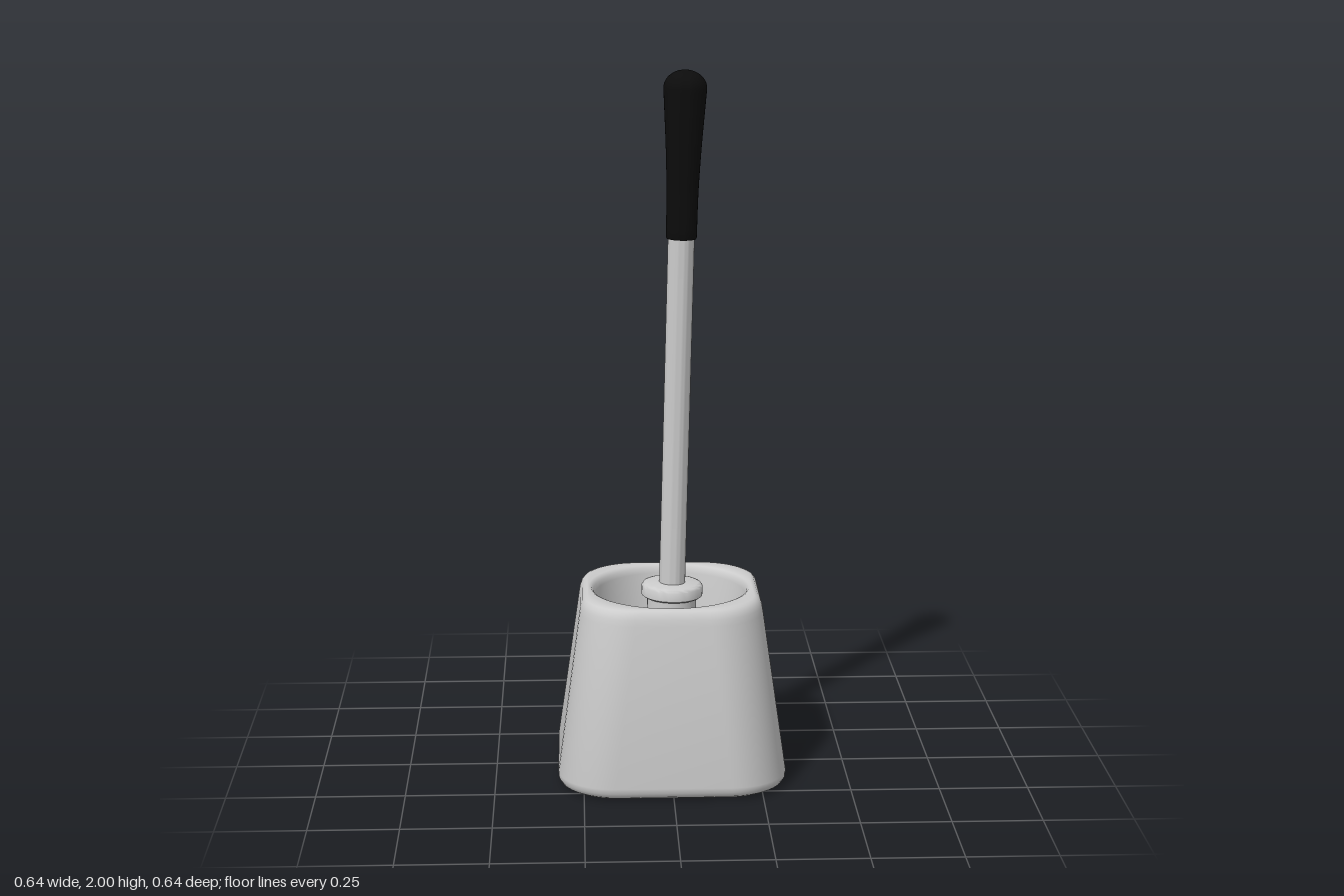
import * as THREE from 'three';
import { toCreasedNormals } from 'three/addons/utils/BufferGeometryUtils.js';

const SEG = 12; // arc steps per corner

// Rounded square outline; a circle when radius equals half
function ring([half, radius, y]) {
  const pts = [];
  for (let q = 0; q < 4; q++) {
    const mid = (q + 0.5) * Math.PI / 2;
    const cx = Math.sign(Math.cos(mid)) * (half - radius);
    const cz = Math.sign(Math.sin(mid)) * (half - radius);
    for (let i = 0; i <= SEG; i++) {
      const a = (q + i / SEG) * Math.PI / 2;
      pts.push([cx + radius * Math.cos(a), y, cz + radius * Math.sin(a)]);
    }
  }
  return pts;
}

// Skin a stack of outlines, closing both ends with a fan
function loft(sections) {
  const rings = sections.map(ring);
  const pos = [];
  const tri = (a, b, c) => pos.push(...a, ...b, ...c);
  const same = (a, b) => Math.hypot(a[0] - b[0], a[1] - b[1], a[2] - b[2]) < 1e-6;
  const n = rings[0].length;
  const last = rings.length - 1;
  const bottom = [0, sections[0][2], 0];
  const top = [0, sections[last][2], 0];
  for (let j = 0; j < n; j++) {
    const k = (j + 1) % n;
    if (!same(rings[0][j], rings[0][k])) tri(bottom, rings[0][j], rings[0][k]);
    if (!same(rings[last][j], rings[last][k])) tri(top, rings[last][k], rings[last][j]);
    for (let i = 0; i < last; i++) {
      const a = rings[i][j], b = rings[i][k], c = rings[i + 1][j], d = rings[i + 1][k];
      if (!same(a, b)) tri(a, c, b);
      if (!same(c, d)) tri(b, c, d);
    }
  }
  const geo = new THREE.BufferGeometry();
  geo.setAttribute('position', new THREE.Float32BufferAttribute(pos, 3));
  return toCreasedNormals(geo, 0.75);
}

function lathe(points, material, name) {
  const geo = new THREE.LatheGeometry(points.map(([r, y]) => new THREE.Vector2(r, y)), 40);
  const mesh = new THREE.Mesh(toCreasedNormals(geo, 0.7), material);
  mesh.name = name;
  return mesh;
}

export function createModel() {
  const grey = new THREE.MeshStandardMaterial({ color: 0xcccccc });
  const black = new THREE.MeshStandardMaterial({ color: 0x0c0c0c });
  const model = new THREE.Group();
  model.name = 'brushAndHolder';

  // Holder: tapered rounded square body with a round well
  const sections = [ // half width, corner radius, height
    [0.285, 0.135, 0.003], [0.301, 0.146, 0.006], [0.314, 0.155, 0.014],
    [0.321, 0.16, 0.026], [0.322, 0.16, 0.04],
    [0.259, 0.155, 0.49], [0.256, 0.153, 0.508], [0.251, 0.15, 0.522],
    [0.244, 0.147, 0.531], [0.236, 0.145, 0.535],
    [0.232, 0.232, 0.535], [0.225, 0.225, 0.532], [0.219, 0.219, 0.524],
    [0.215, 0.215, 0.51], [0.2, 0.2, 0.04],
  ];
  const holder = new THREE.Mesh(loft(sections), grey);
  holder.name = 'holder';
  model.add(holder);

  // Brush leans slightly; its origin is at the collar
  const brush = new THREE.Group();
  brush.name = 'brush';
  brush.position.set(0.006, 0.54, 0.002);
  brush.rotation.set(0.008, 0, -0.025);
  model.add(brush);

  // Brush head standing in the well
  brush.add(lathe([[0, -0.49], [0.06, -0.49], [0.07, -0.48], [0.07, -0.03], [0, -0.03]], grey, 'brushHead'));

  // Collar above the head
  brush.add(lathe([[0, -0.035], [0.08, -0.035], [0.087, -0.03], [0.087, -0.004],
    [0.083, 0.002], [0.074, 0.005], [0, 0.007]], grey, 'collar'));

  // Shaft
  brush.add(lathe([[0, 0], [0.037, 0], [0.037, 1.04], [0, 1.04]], grey, 'shaft'));

  // Grip: flares upward and ends in a dome
  const flare = new THREE.SplineCurve([[0.043, 1.0], [0.044, 1.12], [0.049, 1.24], [0.056, 1.35], [0.06, 1.41]]
    .map(([x, y]) => new THREE.Vector2(x, y))).getPoints(14).map((p) => [p.x, p.y]);
  const dome = [];
  for (let i = 1; i <= 10; i++) {
    const a = i / 10 * Math.PI / 2;
    dome.push([i === 10 ? 0 : 0.06 * Math.cos(a), 1.41 + 0.05 * Math.sin(a)]);
  }
  brush.add(lathe([[0, 0.995], [0.041, 0.995], ...flare, ...dome], black, 'grip'));

  return model;
}
